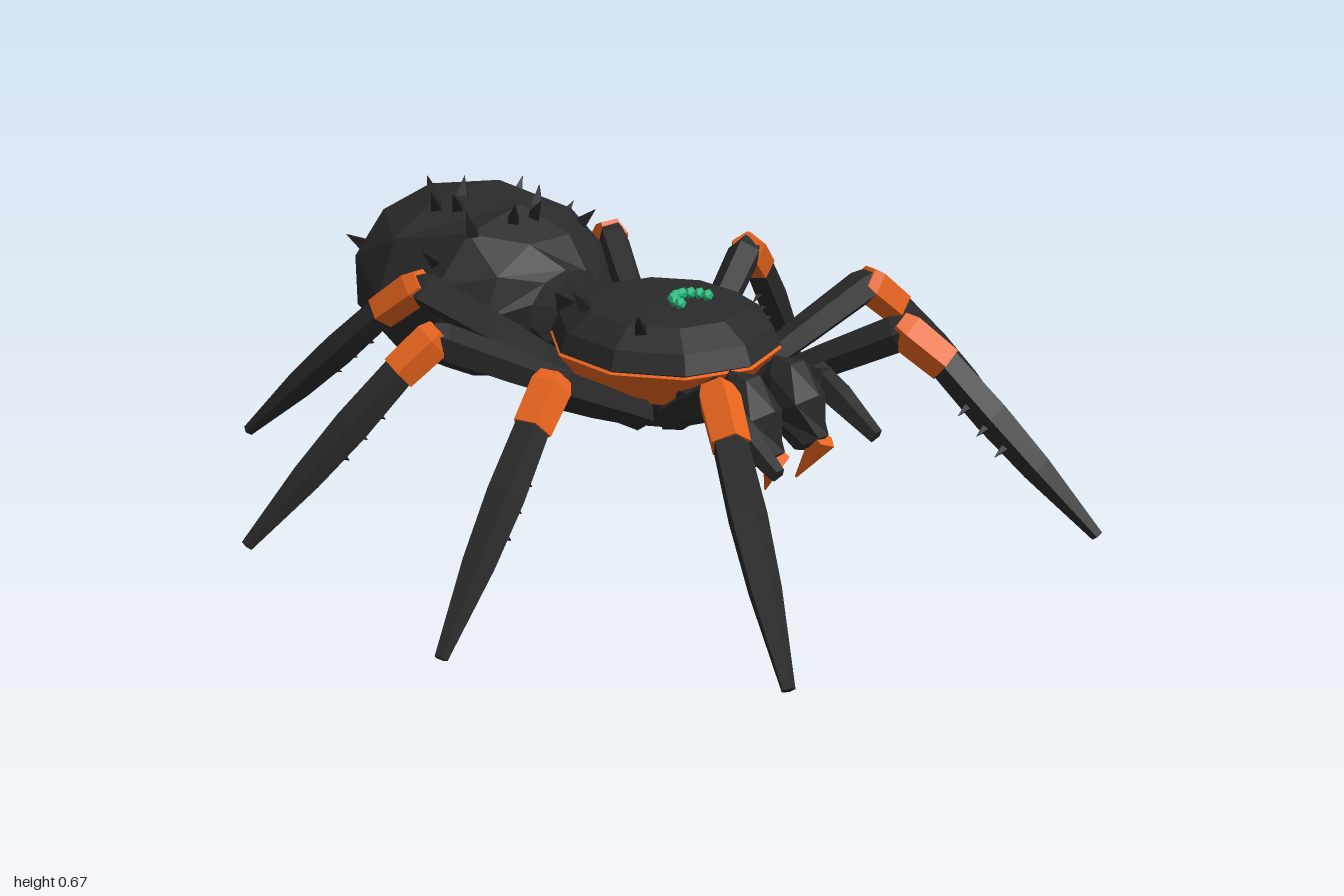
import * as THREE from 'three';

const material = (name, color) => new THREE.MeshStandardMaterial({ name, color, flatShading: true });
const V = (p) => new THREE.Vector3(...p);
const UP = new THREE.Vector3(0, 1, 0);

export function createModel() {
  const black = material('body black', 0x2a2a2a);
  const dark = material('spike black', 0x1f1f20);
  const orange = material('orange', 0xe8641e);
  const green = material('eye green', 0x27bd80);
  const model = new THREE.Group();
  model.name = 'spider';

  const add = (parent, name, geometry, mat) => {
    const mesh = new THREE.Mesh(geometry, mat);
    mesh.name = name;
    parent.add(mesh);
    return mesh;
  };

  // Faceted solid of revolution from [radius, height] pairs; odd rings are turned half a step
  const faceted = (profile, sides, twist = true) => {
    const geo = new THREE.LatheGeometry(profile.map(([r, y]) => new THREE.Vector2(r, y)), sides);
    const pos = geo.attributes.position;
    const v = new THREE.Vector3();
    for (let i = 0; twist && i < pos.count; i++) {
      if ((i % profile.length) % 2 === 0) continue;
      v.fromBufferAttribute(pos, i).applyAxisAngle(UP, Math.PI / sides);
      pos.setXYZ(i, v.x, v.y, v.z);
    }
    return geo;
  };

  // Straight limb piece between two points, with [radius, fraction] pairs along it
  const limb = (parent, name, mat, a, b, profile, sides = 6) => {
    const start = V(a), dir = V(b).sub(start);
    const rings = profile.map(([r, t]) => [r, t * dir.length()]);
    const closed = [[0, rings[0][1]], ...rings, [0, rings[rings.length - 1][1]]];
    const geo = faceted(closed, sides, false);
    geo.applyQuaternion(new THREE.Quaternion().setFromUnitVectors(UP, dir.normalize()));
    geo.translate(start.x, start.y, start.z);
    return add(parent, name, geo, mat);
  };

  const spike = (parent, name, at, dir, r = 0.023, h = 0.052) => {
    const end = at.clone().addScaledVector(dir, h);
    const from = at.clone().addScaledVector(dir, -0.01);
    limb(parent, name, dark, from.toArray(), end.toArray(), [[r, 0], [0.001, 1]], 4);
  };

  // Front body: carapace, orange band and underside share one oval
  const oval = (name, profile, mat) => {
    const geo = faceted(profile, 10, false);
    geo.scale(0.27, 1, 0.285);
    geo.translate(0, 0, 0.085);
    return add(model, name, geo, mat);
  };
  const carapace = oval('carapace', [[0.95, 0.39], [1, 0.4], [0.93, 0.445], [0.7, 0.487], [0, 0.503]], black);
  oval('bodyBand', [[0.74, 0.3], [1.01, 0.392], [0.9, 0.405]], orange);
  oval('underside', [[0, 0.215], [0.55, 0.225], [0.75, 0.305]], black);

  // Abdomen, waist and spinneret
  const abdomenGeo = faceted([
    [0, -1], [0.125, -0.925], [0.213, -0.81], [0.25, -0.64], [0.232, -0.44], [0.17, -0.33], [0.095, -0.27], [0, -0.25],
  ], 10);
  abdomenGeo.rotateX(Math.PI / 2);
  abdomenGeo.scale(1.25, 1, 1);
  abdomenGeo.translate(0, 0.39, 0);
  const abdomen = add(model, 'abdomen', abdomenGeo, black);
  limb(model, 'waist', black, [0, 0.4, -0.14], [0, 0.42, -0.32], [[0.05, 0], [0.05, 1]]);
  limb(model, 'spinneret', orange, [0, 0.32, -0.86], [0, 0.305, -1], [[0.035, 0], [0.02, 1]], 5);

  // Spikes dropped onto the abdomen and carapace from above
  const ray = new THREE.Raycaster();
  const plant = (target, name, spots) => spots.forEach(([x, z]) => {
    ray.set(new THREE.Vector3(x, 2, z), new THREE.Vector3(0, -1, 0));
    const hit = ray.intersectObject(target)[0];
    if (hit) spike(model, name, hit.point, hit.face.normal);
  });
  plant(abdomen, 'abdomenSpike', [
    [-0.21, -0.83], [-0.13, -0.62], [-0.1, -0.57], [-0.06, -0.6], [0.06, -0.93], [0.1, -0.92], [0.19, -0.83],
    [0.2, -0.69], [0.03, -0.84], [-0.05, -0.41], [0.01, -0.4], [0.08, -0.47], [-0.23, -0.5], [0.24, -0.55],
    [-0.16, -0.44], [0.17, -0.4],
  ]);
  plant(carapace, 'carapaceSpike', [[-0.17, 0.18], [-0.16, -0.02], [0.06, -0.17]]);

  // Eyes: an arc of small beads on the front of the carapace
  for (let i = 0; i < 8; i++) {
    const a = (i / 7) * Math.PI;
    const eye = add(model, 'eye', new THREE.IcosahedronGeometry(0.015, 0), green);
    eye.position.set(0.045 * Math.cos(a), 0.517, 0.182 - 0.052 * Math.sin(a));
  }

  // Legs: base, knee, lower end of the joint, foot (left side)
  const legs = [
    ['frontLeg', [0.13, 0.28, 0.25], [0.31, 0.462, 0.565], [0.36, 0.39, 0.65], [0.53, 0.01, 0.985]],
    ['secondLeg', [0.18, 0.28, 0.18], [0.525, 0.462, 0.272], [0.605, 0.39, 0.298], [0.95, 0.01, 0.405]],
    ['thirdLeg', [0.18, 0.28, 0.01], [0.52, 0.462, -0.14], [0.6, 0.39, -0.175], [0.935, 0.01, -0.33]],
    ['rearLeg', [0.12, 0.28, -0.09], [0.325, 0.472, -0.455], [0.37, 0.395, -0.545], [0.535, 0.01, -0.93]],
  ];
  for (const s of [1, -1]) {
    const m = ([x, y, z]) => [s * x, y, z];
    const side = s > 0 ? 'left' : 'right';
    for (const [name, ...points] of legs) {
      const [base, knee, joint, foot] = points.map(m);
      const leg = new THREE.Group();
      leg.name = `${side} ${name}`;
      model.add(leg);
      limb(leg, 'upperLeg', black, base, knee, [[0.04, -0.04], [0.036, 0.2], [0.042, 0.5], [0.046, 0.95], [0.036, 1.03]], 5);
      limb(leg, 'kneeJoint', orange, knee, joint, [[0.038, -0.2], [0.049, 0.05], [0.046, 1]], 5);
      limb(leg, 'lowerLeg', black, joint, foot, [[0.04, -0.03], [0.044, 0.3], [0.037, 0.6], [0.015, 1]], 5);
      // Bristles on the inner side of the lower leg
      const along = V(foot).sub(V(joint)).normalize();
      const inward = new THREE.Vector3(-0.75 * s, -0.5, 0);
      inward.addScaledVector(along, -inward.dot(along)).normalize();
      for (const t of [0.2, 0.32, 0.44]) {
        const at = V(joint).lerp(V(foot), t).addScaledVector(inward, 0.03);
        spike(leg, 'legSpike', at, inward, 0.015, 0.035);
      }
    }

    // Feelers beside the jaws
    limb(model, `${side} feelerBase`, black, m([0.12, 0.33, 0.28]), m([0.16, 0.345, 0.46]), [[0.036, 0], [0.04, 1]], 5);
    limb(model, `${side} feelerTip`, black, m([0.16, 0.36, 0.42]), m([0.165, 0.25, 0.61]), [[0.034, 0], [0.036, 0.4], [0.02, 1]], 5);

    // Jaw and fang
    const jawGeo = faceted([[0, -0.12], [0.036, -0.1], [0.062, -0.01], [0.05, 0.08], [0, 0.12]], 7);
    jawGeo.scale(1.06, 1, 1.35);
    const jaw = add(model, `${side} jaw`, jawGeo, black);
    jaw.position.set(0.074 * s, 0.31, 0.44);
    jaw.rotation.x = -0.6;
    limb(model, `${side} fang`, orange, m([0.08, 0.245, 0.525]), m([0.052, 0.14, 0.47]), [[0.033, 0], [0.003, 1]], 5);
  }
  return model;
}
